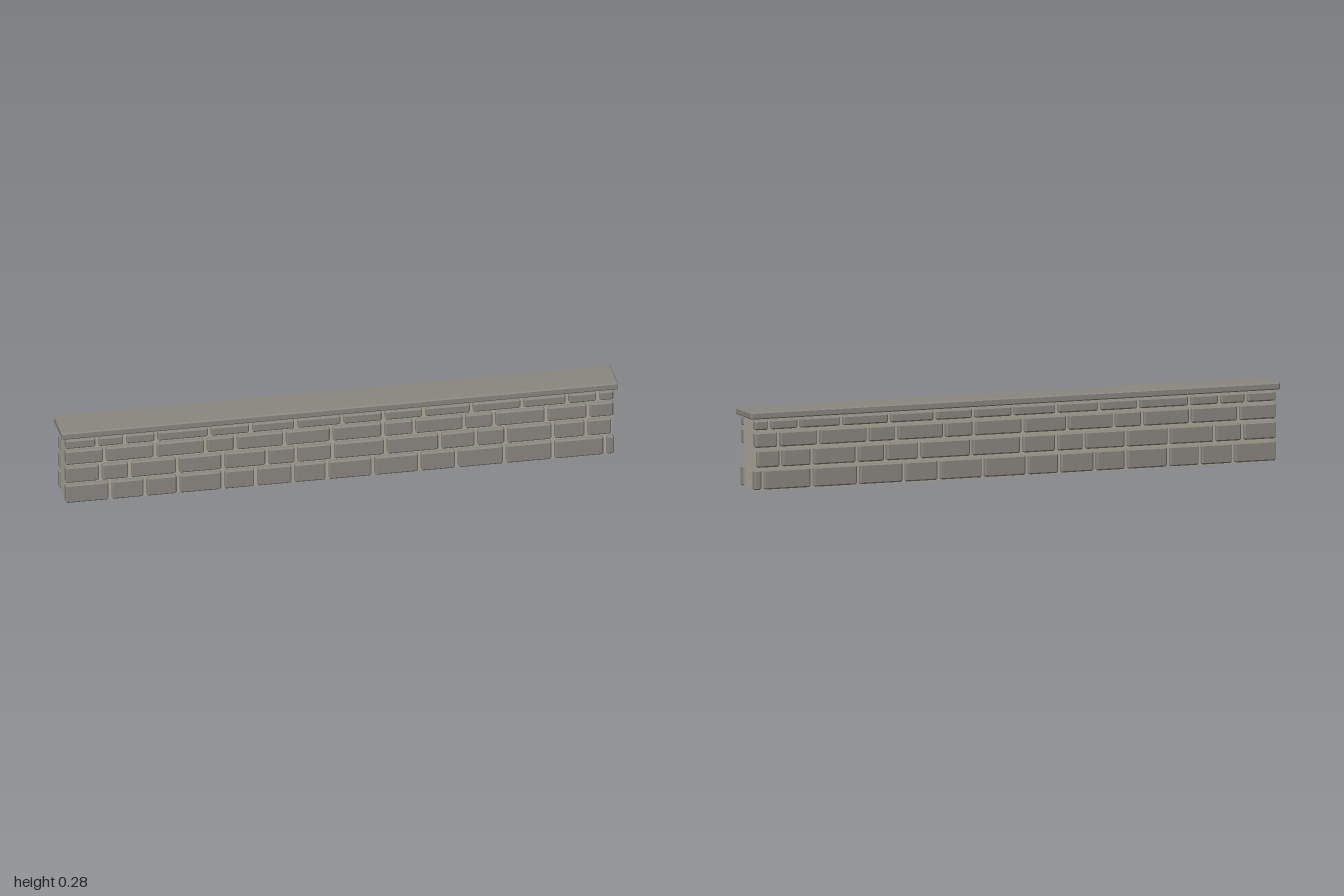
import * as THREE from 'three';
import { ConvexGeometry } from 'three/addons/geometries/ConvexGeometry.js';

// Box with every edge chamfered by c, given by its limits
function chamferedBox(x0, x1, y0, y1, z0, z1, c) {
  const center = new THREE.Vector3((x0 + x1) / 2, (y0 + y1) / 2, (z0 + z1) / 2);
  const hx = (x1 - x0) / 2, hy = (y1 - y0) / 2, hz = (z1 - z0) / 2;
  const points = [];
  for (const sx of [-1, 1]) for (const sy of [-1, 1]) for (const sz of [-1, 1]) {
    points.push(
      new THREE.Vector3(sx * hx, sy * (hy - c), sz * (hz - c)),
      new THREE.Vector3(sx * (hx - c), sy * hy, sz * (hz - c)),
      new THREE.Vector3(sx * (hx - c), sy * (hy - c), sz * hz)
    );
  }
  const geometry = new ConvexGeometry(points);
  geometry.translate(center.x, center.y, center.z);
  return geometry;
}

// Stone courses: height limits, ends, and the joints between stones along x
const courses = [
  { y: [0.005, 0.075], ends: [-0.985, 0.985],
    joints: [-0.825, -0.7, -0.58, -0.42, -0.302, -0.168, -0.045, 0.12, 0.287, 0.42, 0.592, 0.767, 0.953] },
  { y: [0.084, 0.145], ends: [-0.985, 0.975],
    joints: [-0.86, -0.755, -0.583, -0.42, -0.262, -0.157, -0.025, 0.165, 0.36, 0.49, 0.597, 0.767, 0.885] },
  { y: [0.155, 0.209], ends: [-0.985, 0.983],
    joints: [-0.845, -0.663, -0.482, -0.375, -0.198, -0.03, 0.155, 0.267, 0.447, 0.555, 0.742, 0.893] },
  { y: [0.218, 0.252], ends: [-0.985, 0.983],
    joints: [-0.873, -0.773, -0.66, -0.468, -0.32, -0.158, 0.008, 0.157, 0.302, 0.474, 0.655, 0.817, 0.927] }
];
const GAP = 0.012, CHAMFER = 0.005;

export function createModel() {
  const wall = new THREE.Group();
  wall.name = 'stoneWall';
  const stoneMaterial = new THREE.MeshStandardMaterial({ color: 0x8a8780 });
  const coreMaterial = new THREE.MeshStandardMaterial({ color: 0xb0aa9c });

  // Mortar core
  const core = new THREE.Mesh(new THREE.BoxGeometry(1.96, 0.258, 0.112), coreMaterial);
  core.name = 'mortarCore';
  core.position.y = 0.129;
  wall.add(core);

  // Capping slab
  const cap = new THREE.Mesh(chamferedBox(-1, 1, 0.257, 0.282, -0.075, 0.075, 0.004), stoneMaterial);
  cap.name = 'capSlab';
  wall.add(cap);

  // Facing stones, mirrored front to back
  for (const side of [1, -1]) {
    const face = new THREE.Group();
    face.name = side > 0 ? 'frontStones' : 'backStones';
    for (const { y, ends, joints } of courses) {
      const marks = [ends[0] - GAP / 2, ...joints, ends[1] + GAP / 2];
      for (let i = 0; i < marks.length - 1; i++) {
        const z = side > 0 ? [0.043, 0.073] : [-0.073, -0.043];
        const stone = new THREE.Mesh(
          chamferedBox(marks[i] + GAP / 2, marks[i + 1] - GAP / 2, y[0], y[1], z[0], z[1], CHAMFER),
          stoneMaterial
        );
        stone.name = 'stone';
        face.add(stone);
      }
    }
    wall.add(face);
  }
  return wall;
}
